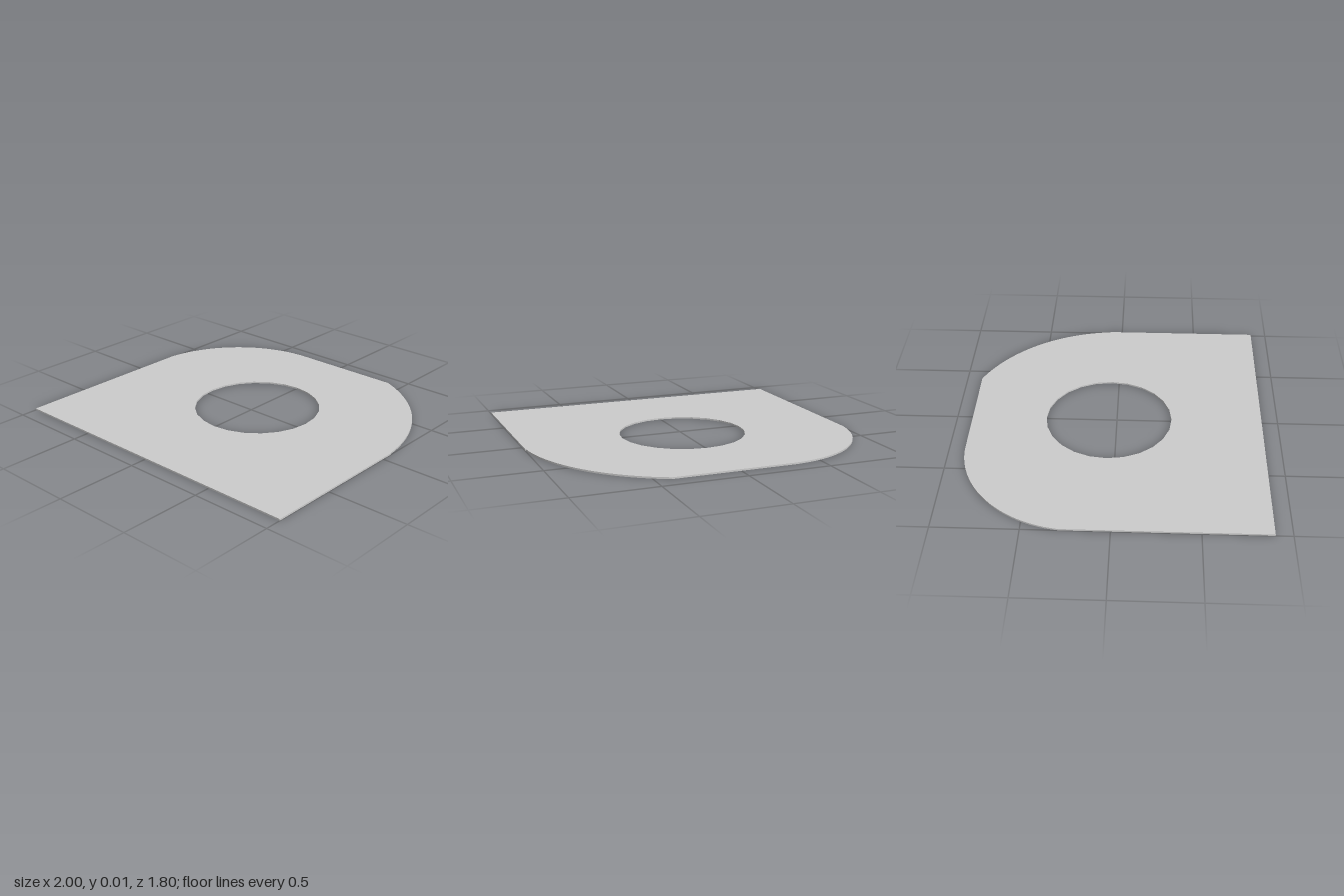
import * as THREE from 'three';

const THICKNESS = 0.01;

export function createModel() {
  const group = new THREE.Group();

  // Plate outline in plan: shape y becomes z
  const outline = new THREE.Shape();
  outline.moveTo(-1, 0.9);
  outline.lineTo(1, 0.9);
  outline.lineTo(1, -0.08);
  // Wide arc on the left, ending in a corner at the back edge
  outline.absarc(0.006, 0.008, 0.994, -0.09, -1.158, true);
  // Rounded corner on the right, tangent to the back edge
  outline.absarc(-0.305, -0.203, 0.7, -1.6, -Math.PI + 0.12, true);
  outline.closePath();

  // Round opening
  const opening = new THREE.Path();
  opening.absarc(0.005, -0.05, 0.39, 0, Math.PI * 2, false);
  outline.holes.push(opening);

  const geometry = new THREE.ExtrudeGeometry(outline, {
    depth: THICKNESS, bevelEnabled: false, curveSegments: 12,
  });
  geometry.rotateX(Math.PI / 2);
  geometry.translate(0, THICKNESS, 0);

  const plate = new THREE.Mesh(geometry, new THREE.MeshStandardMaterial({ color: 0xcccccc }));
  plate.name = 'plate';
  group.add(plate);
  return group;
}
